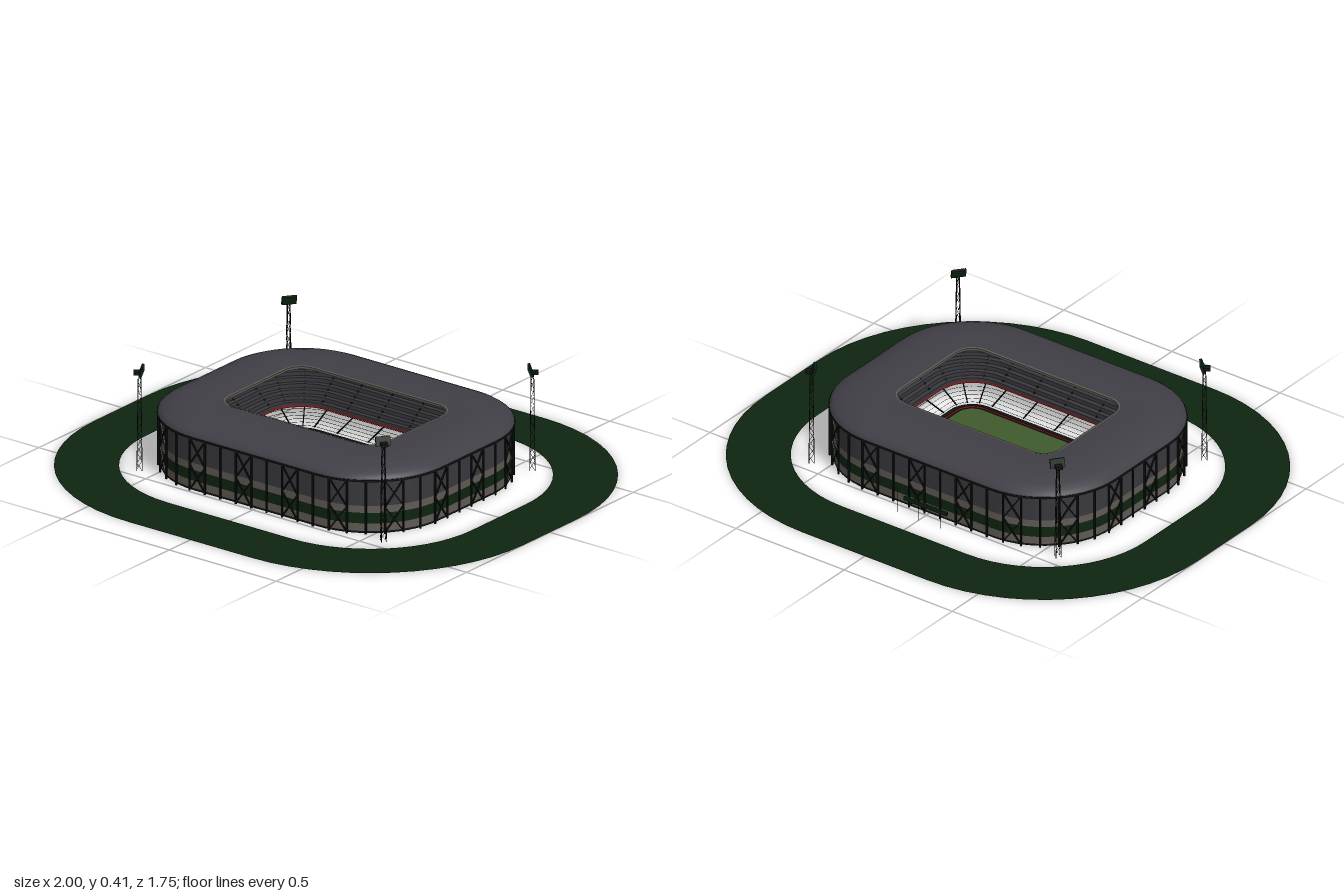
import * as THREE from 'three';
import { mergeGeometries, toCreasedNormals } from 'three/addons/utils/BufferGeometryUtils.js';

const CX = 0.29, CZ = 0.165, R = 0.33; // corner centres and facade radius
const V = (x, y, z) => new THREE.Vector3(x, y, z);

const mat = (name, color) => {
  const m = new THREE.MeshStandardMaterial({ color, side: THREE.DoubleSide });
  m.name = name;
  return m;
};

// Rounded rectangle around the core, at distance r from it
function outline(r, seg = 14) {
  const pts = [];
  [[1, 1], [-1, 1], [-1, -1], [1, -1]].forEach(([sx, sz], k) => {
    for (let i = 0; i <= seg; i++) {
      const a = (k + i / seg) * Math.PI / 2;
      pts.push([sx * CX + r * Math.cos(a), sz * CZ + r * Math.sin(a)]);
    }
  });
  return pts;
}

// Sweeps a profile of [distance, height] points around the outline
function sweep(profile, crease = 0.6) {
  const pos = [], idx = [];
  const n = outline(1).length;
  profile.forEach(([r, y]) => outline(r).forEach(([x, z]) => pos.push(x, y, z)));
  for (let j = 0; j < profile.length - 1; j++) {
    for (let i = 0; i < n; i++) {
      const a = j * n + i, b = j * n + (i + 1) % n;
      idx.push(a, a + n, b, b, a + n, b + n);
    }
  }
  const g = new THREE.BufferGeometry();
  g.setAttribute('position', new THREE.Float32BufferAttribute(pos, 3));
  g.setIndex(idx);
  g.computeVertexNormals();
  return toCreasedNormals(g, crease);
}

// Point at arc length s along the facade, moved to distance r
const ARC = R * Math.PI / 2;
const PERIMETER = 4 * (ARC + CX + CZ);
function along(s, r, y) {
  s = ((s % PERIMETER) + PERIMETER) % PERIMETER;
  const corners = [[1, 1], [-1, 1], [-1, -1], [1, -1]];
  for (let k = 0; k < 4; k++) {
    const [sx, sz] = corners[k];
    const side = k % 2 ? 2 * CZ : 2 * CX;
    if (s <= ARC) {
      const a = k * Math.PI / 2 + s / R;
      return V(sx * CX + r * Math.cos(a), y, sz * CZ + r * Math.sin(a));
    }
    s -= ARC;
    if (s <= side) {
      const a = (k + 1) * Math.PI / 2;
      return V(sx * CX + r * Math.cos(a) - s * Math.sin(a), y, sz * CZ + r * Math.sin(a) + s * Math.cos(a));
    }
    s -= side;
  }
  return V(CX + r, y, CZ);
}

// Thin square bar between two points
function bar(a, b, w) {
  const g = new THREE.BoxGeometry(w, w, a.distanceTo(b));
  const o = new THREE.Object3D();
  o.position.copy(a).lerp(b, 0.5);
  o.lookAt(b);
  o.updateMatrix();
  return g.applyMatrix4(o.matrix);
}

export function createModel() {
  const model = new THREE.Group();
  const roofGray = mat('roof gray', 0x413f46);
  const wallGray = mat('wall gray', 0x39383d);
  const taupe = mat('taupe', 0x5f5a54);
  const darkGreen = mat('dark green', 0x0e2410);
  const black = mat('black steel', 0x111412);
  const grass = mat('grass', 0x405a2c);
  const red = mat('red', 0x8c1a18);

  const add = (name, geometry, material, parent = model) => {
    const m = new THREE.Mesh(geometry, material);
    m.name = name;
    parent.add(m);
    return m;
  };

  // Grounds
  add('outerLawn', sweep([[0.47, 0], [0.71, 0]]), darkGreen);
  const pitchShape = new THREE.Shape(outline(0.066).map(([x, z]) => new THREE.Vector2(x, -z)));
  const pitch = add('pitch', new THREE.ShapeGeometry(pitchShape).rotateX(-Math.PI / 2), grass);
  pitch.position.y = 0.004;
  add('pitchSurround', sweep([[0.066, 0.004], [0.1, 0.004]]), black);
  add('pitchBoards', sweep([[0.074, 0.004], [0.074, 0.012]]), red);

  // Goals
  for (const s of [-1, 1]) {
    const x = s * 0.3, b = x + s * 0.012, h = 0.016, w = 0.02, parts = [];
    for (const z of [-w, w]) {
      parts.push(bar(V(x, 0.004, z), V(x, h, z), 0.002), bar(V(x, h, z), V(b, 0.004, z), 0.002));
    }
    parts.push(bar(V(x, h, -w), V(x, h, w), 0.002));
    add('goal', mergeGeometries(parts), black);
  }

  // Roof shell with its inner and outer rims
  add('roof', sweep([[0.33, 0.212], [0.327, 0.223], [0.312, 0.234], [0.285, 0.246],
    [0.25, 0.255], [0.2, 0.261], [0.14, 0.262], [0.08, 0.255]], 1), roofGray);
  add('roofSoffit', sweep([[0.08, 0.248], [0.2, 0.25], [0.328, 0.212]], 1), wallGray);
  add('roofInnerRim', sweep([[0.083, 0.257], [0.075, 0.256], [0.075, 0.246], [0.083, 0.246]]), taupe);
  add('roofOuterRim', sweep([[0.325, 0.216], [0.331, 0.216], [0.331, 0.208], [0.325, 0.208]]), black);

  // Facade bands
  const bands = [['base', 0, 0.008, black], ['lowerWall', 0.008, 0.038, taupe], ['greenBand', 0.038, 0.08, darkGreen],
    ['middleWall', 0.08, 0.108, taupe], ['upperWall', 0.108, 0.212, wallGray]];
  for (const [name, y0, y1, m] of bands) add(name, sweep([[0.315, y0], [0.315, y1]]), m);

  // Facade columns, with stacked cross braces in every third bay
  const N = 54, step = PERIMETER / N, columns = [], braces = [];
  const start = ARC + CX + 0.014;
  for (let i = 0; i < N; i++) {
    const s = start + i * step;
    columns.push(bar(along(s, 0.326, 0), along(s, 0.326, 0.212), 0.006));
    if (i % 3) continue;
    for (const [y0, y1] of [[0.005, 0.105], [0.105, 0.21]]) {
      braces.push(bar(along(s, 0.326, y0), along(s + step, 0.326, y1), 0.005));
      braces.push(bar(along(s, 0.326, y1), along(s + step, 0.326, y0), 0.005));
    }
  }
  add('facadeColumns', mergeGeometries(columns), black);
  add('facadeBraces', mergeGeometries(braces), black);

  // Open lower stand: thin rows carried by sloping beams
  const rows = 9;
  for (let i = 0; i < rows; i++) {
    const r = 0.1 + i * 0.018, y = 0.012 + i * 0.006;
    add('lowerSeatRow', sweep([[r, y], [r, y + 0.0016]]), black);
  }
  const beams = [], aisles = [];
  for (let i = 0; i < N; i += 2) {
    const s = start + i * step;
    beams.push(bar(along(s, 0.1, 0.01), along(s, 0.25, 0.06), 0.004));
    aisles.push(bar(along(s, 0.152, 0.074), along(s, 0.31, 0.2), 0.005));
  }
  add('lowerStandBeams', mergeGeometries(beams), black);

  // Upper stand with red front rail
  const tier = [];
  for (let i = 0; i <= 8; i++) {
    const r = 0.15 + i * 0.02, y = 0.07 + i * 0.016;
    tier.push([r, y]);
    if (i < 8) tier.push([r, y + 0.016]);
  }
  add('upperStand', sweep(tier), wallGray);
  add('upperAisles', mergeGeometries(aisles), black);
  add('upperStandRail', sweep([[0.148, 0.066], [0.148, 0.074]]), red);

  // Floodlight masts at the four corners
  for (const sx of [-1, 1]) for (const sz of [-1, 1]) {
    const tower = new THREE.Group();
    tower.name = 'floodlight';
    tower.position.set(sx * 0.57, 0, sz * 0.447);
    tower.rotation.y = Math.atan2(-sx * 0.57, -sz * 0.447);
    const parts = [], levels = 12, h = 0.385;
    const leg = (k, y) => {
      const w = 0.014 - 0.007 * y / h, a = (k + 0.5) * Math.PI / 2;
      return V(w * Math.cos(a), y, w * Math.sin(a));
    };
    for (let k = 0; k < 4; k++) {
      parts.push(bar(leg(k, 0), leg(k, h), 0.0018));
      for (let i = 0; i < levels; i++) {
        const y0 = i * h / levels, y1 = (i + 1) * h / levels;
        parts.push(bar(leg(k + i % 2, y0), leg(k + 1 - i % 2, y1), 0.0012));
      }
    }
    add('mast', mergeGeometries(parts), black, tower);
    const head = add('lampPanel', new THREE.BoxGeometry(0.056, 0.036, 0.01), darkGreen, tower);
    head.position.set(0, 0.395, 0.008);
    head.rotation.x = 0.35;
    add('lampBracket', new THREE.BoxGeometry(0.026, 0.012, 0.034), black, tower).position.set(0, 0.388, -0.006);
    model.add(tower);
  }

  // Rear entrance canopy and flagpoles
  add('entranceCanopy', new THREE.BoxGeometry(0.2, 0.014, 0.01), darkGreen).position.set(0, 0.04, -0.502);
  for (const x of [-0.1, 0, 0.1]) {
    add('flagpole', new THREE.CylinderGeometry(0.0012, 0.0012, 0.1, 6), black).position.set(x, 0.05, -0.545);
  }
  return model;
}
